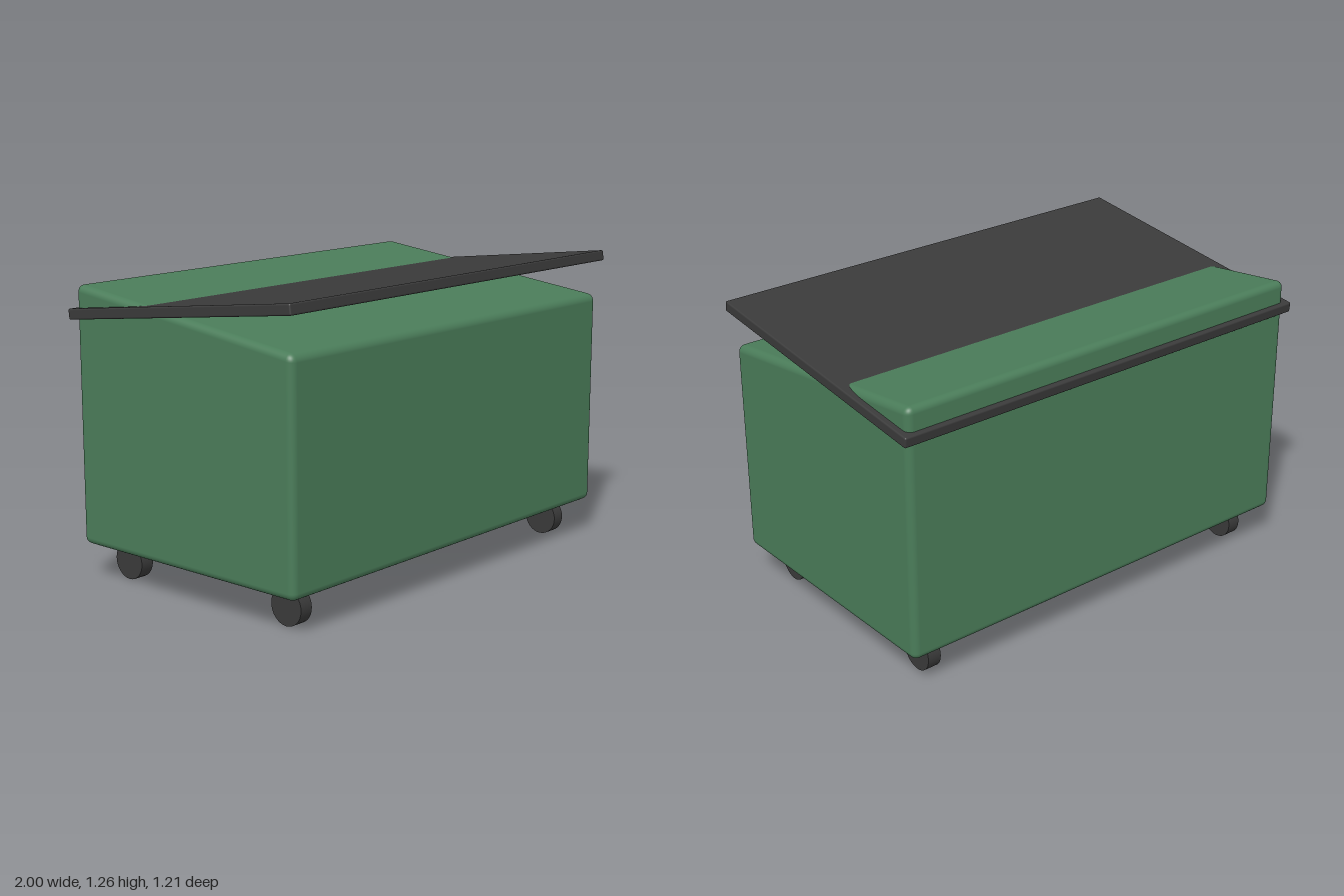
import * as THREE from 'three';
import { RoundedBoxGeometry } from 'three/addons/geometries/RoundedBoxGeometry.js';

export function createModel() {
  const model = new THREE.Group();
  model.name = 'wheeledBin';

  const green = new THREE.MeshStandardMaterial({ color: 0x4a7c59 });
  green.name = 'bin green';
  const grey = new THREE.MeshStandardMaterial({ color: 0x3a3a3a });
  grey.name = 'dark grey';

  const add = (name, geometry, material, x, y, z) => {
    const mesh = new THREE.Mesh(geometry, material);
    mesh.name = name;
    mesh.position.set(x, y, z);
    model.add(mesh);
    return mesh;
  };

  // Body: rounded box whose top half is sheared so the rim rises to the back
  const bottom = 0.15, top = 1.147, rise = 0.125;
  const bodyGeo = new RoundedBoxGeometry(1.95, top - bottom, 1.17, 4, 0.03);
  const pos = bodyGeo.attributes.position;
  const nor = bodyGeo.attributes.normal;
  const n = new THREE.Vector3();
  for (let i = 0; i < pos.count; i++) {
    if (pos.getY(i) <= 0) continue;
    pos.setY(i, pos.getY(i) - rise * pos.getZ(i));
    n.fromBufferAttribute(nor, i);
    n.z += rise * n.y;
    n.normalize();
    nor.setXYZ(i, n.x, n.y, n.z);
  }
  add('body', bodyGeo, green, 0, (bottom + top) / 2, 0);

  // Lid: thin slab tilted up at the front, cutting through the body top
  const lid = add('lid', new RoundedBoxGeometry(2, 0.044, 1.215, 3, 0.007), grey, 0, 1.171, 0);
  lid.rotation.x = -0.12;

  // Four wheels under the corners
  const wheelGeo = new THREE.CylinderGeometry(0.077, 0.077, 0.06, 32).rotateZ(Math.PI / 2);
  for (const [side, x] of [['Left', 0.83], ['Right', -0.83]]) {
    for (const [end, z] of [['front', 0.44], ['back', -0.44]]) {
      add(`${end}${side}Wheel`, wheelGeo, grey, x, 0.077, z);
    }
  }
  return model;
}
